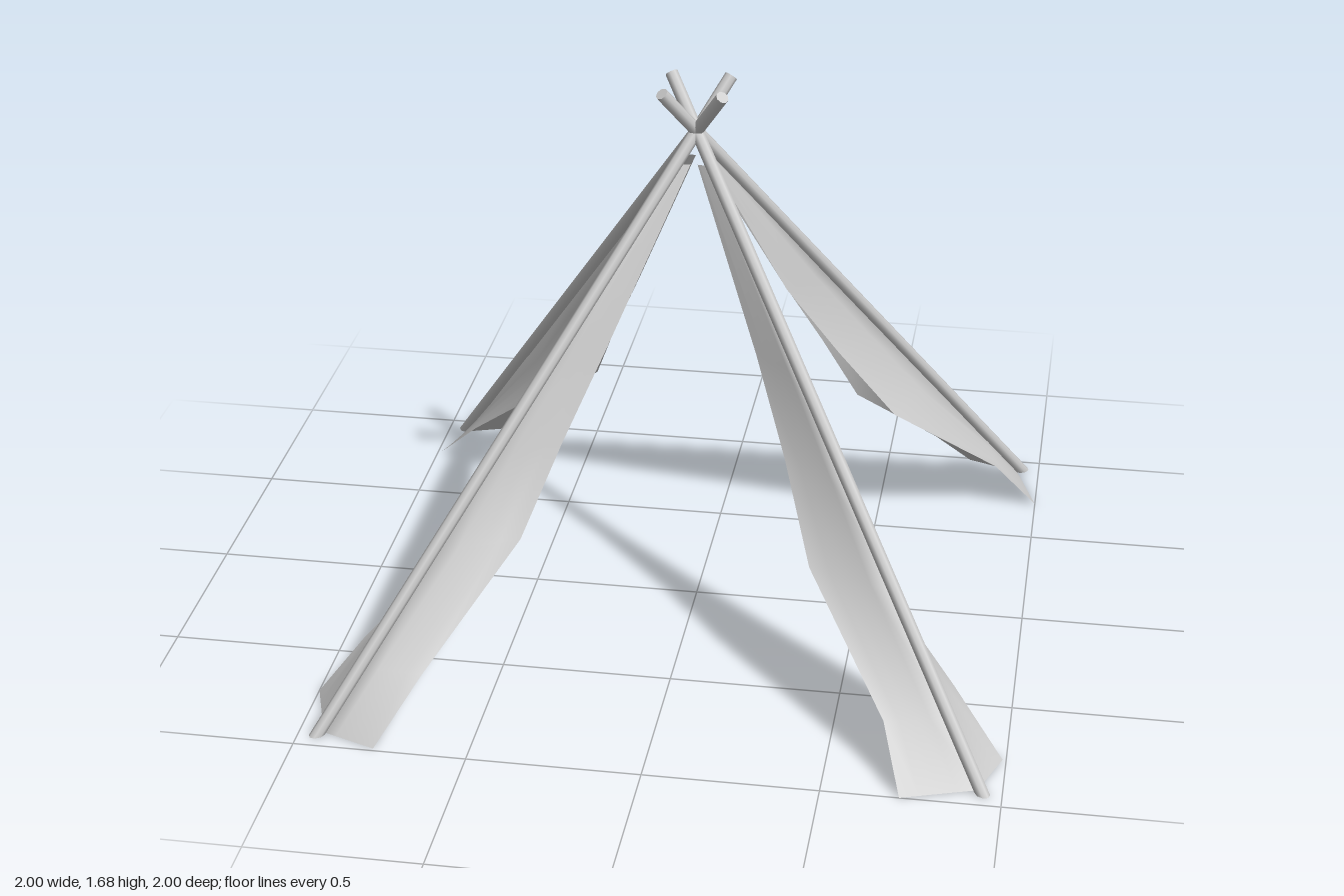
import * as THREE from 'three';

const APEX = 1.53, FOOT = 0.945, POLE_R = 0.019;
// x (and z) of the pole axis at height y
const poleAt = (y) => FOOT * (1 - y / APEX);

// Fabric rows from floor to top: height, then x and z of the two free edges
const ROWS = [
  { y: 0, a: [0.72, 1.0], b: [0.99, 0.77] },
  { y: 0.16, a: [0.66, 0.87], b: [0.84, 0.66] },
  { y: 0.45, a: [0.41, 0.56], b: [0.53, 0.43] },
  { y: 0.7, a: [0.315, 0.39], b: [0.395, 0.33] },
  { y: 0.95, a: [0.21, 0.24], b: [0.26, 0.22] },
  { y: 1.44, a: [0.008, 0.035], b: [0.035, 0.012] },
];

function poleGeometry() {
  const bottom = new THREE.Vector3(FOOT, 0, FOOT);
  const top = new THREE.Vector3(poleAt(1.67), 1.67, poleAt(1.67));
  const dir = top.clone().sub(bottom);
  const geo = new THREE.CylinderGeometry(POLE_R, POLE_R, dir.length(), 8);
  geo.applyQuaternion(new THREE.Quaternion().setFromUnitVectors(
    new THREE.Vector3(0, 1, 0), dir.clone().normalize()));
  const mid = bottom.add(top).multiplyScalar(0.5);
  geo.translate(mid.x, mid.y, mid.z);
  // Cut the foot level with the floor
  const p = geo.attributes.position;
  for (let i = 0; i < p.count; i++) {
    if (p.getY(i) < 0.1) {
      const t = -p.getY(i) / dir.y;
      p.setXYZ(i, p.getX(i) + dir.x * t, 0, p.getZ(i) + dir.z * t);
    }
  }
  return geo;
}

function drapeGeometry() {
  const COLS = 4; // segments per wing
  const pos = [], index = [];
  for (const { y, a, b } of ROWS) {
    const s = poleAt(y) - 0.015; // fold line along the inside of the pole
    for (let j = -COLS; j <= COLS; j++) {
      const edge = j < 0 ? a : b, t = Math.abs(j) / COLS;
      pos.push(s + (edge[0] - s) * t, y, s + (edge[1] - s) * t);
    }
  }
  const w = COLS * 2 + 1;
  for (let i = 0; i < ROWS.length - 1; i++) {
    for (let j = 0; j < w - 1; j++) {
      const k = i * w + j;
      index.push(k, k + 1, k + w, k + 1, k + w + 1, k + w);
    }
  }
  const geo = new THREE.BufferGeometry();
  geo.setAttribute('position', new THREE.Float32BufferAttribute(pos, 3));
  geo.setIndex(index);
  geo.computeVertexNormals();
  return geo;
}

export function createModel() {
  const model = new THREE.Group();
  model.name = 'tent';
  const wood = new THREE.MeshStandardMaterial({ color: 0xcccccc });
  const cloth = new THREE.MeshStandardMaterial({ color: 0xcccccc, side: THREE.DoubleSide });
  const poleGeo = poleGeometry(), drapeGeo = drapeGeometry();

  // Four identical legs turned about the centre
  for (let i = 0; i < 4; i++) {
    const leg = new THREE.Group();
    leg.name = 'leg' + (i + 1);
    const pole = new THREE.Mesh(poleGeo, wood);
    pole.name = 'pole';
    const drape = new THREE.Mesh(drapeGeo, cloth);
    drape.name = 'fabricDrape';
    leg.add(pole, drape);
    leg.rotation.y = i * Math.PI / 2;
    model.add(leg);
  }
  return model;
}
